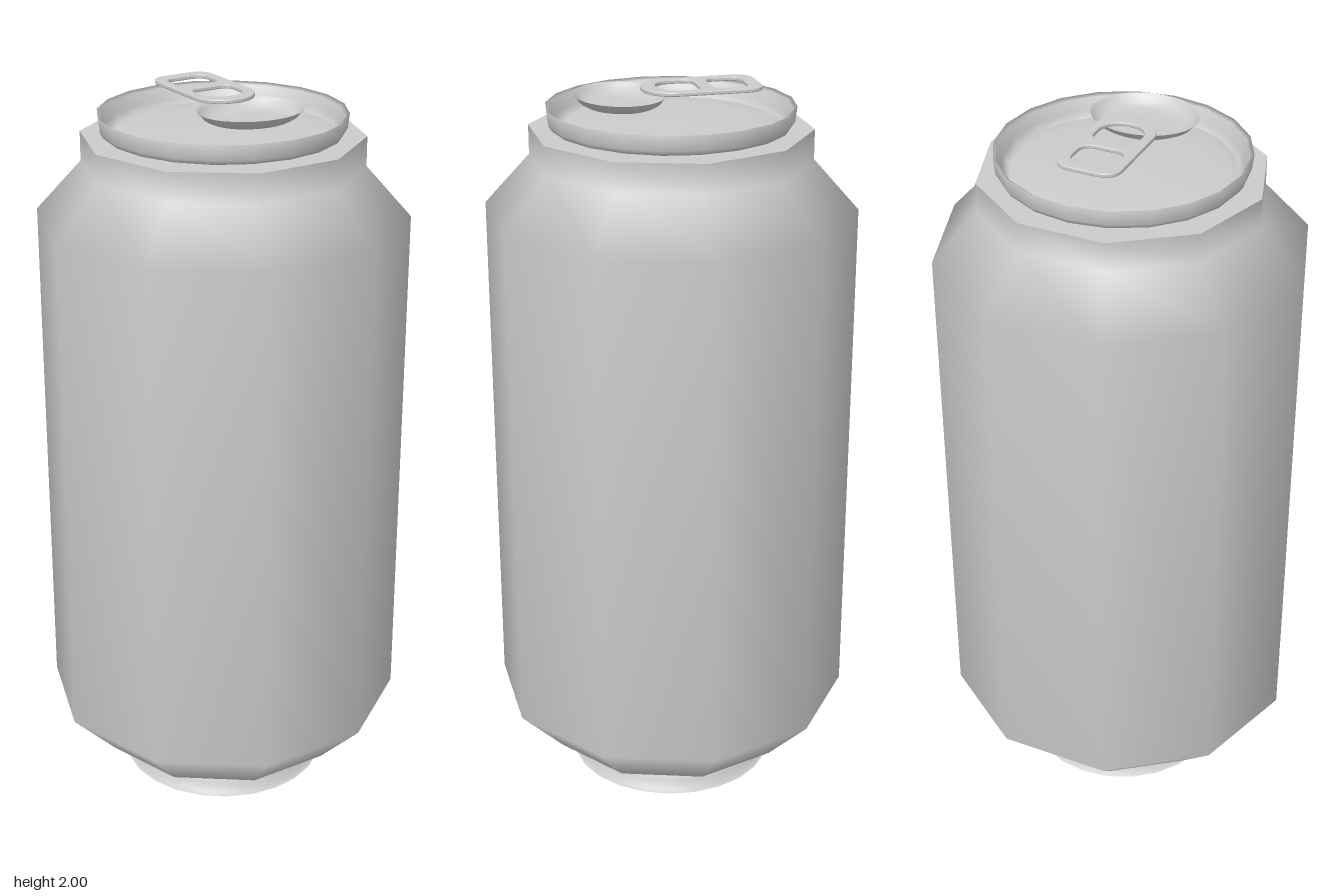
import * as THREE from 'three';

const material = new THREE.MeshStandardMaterial({ color: 0xcccccc });
const thin = new THREE.MeshStandardMaterial({ color: 0xcccccc, side: THREE.DoubleSide });

// Turned part from [radius, height] pairs; a corner sits on the x axis.
function turned(name, profile, sides, mat = material) {
  const points = profile.map(([r, y]) => new THREE.Vector2(r, y));
  const mesh = new THREE.Mesh(new THREE.LatheGeometry(points, sides, Math.PI / 2), mat);
  mesh.name = name;
  return mesh;
}

// Rounded outline from z0 (back) to z1 (front), with separate corner radii.
function outline(path, halfWidth, z0, z1, backRadius, frontRadius) {
  const w = halfWidth, top = -z0, low = -z1, b = backRadius, f = frontRadius;
  path.moveTo(w, low + f);
  path.lineTo(w, top - b);
  path.quadraticCurveTo(w, top, w - b, top);
  path.lineTo(-w + b, top);
  path.quadraticCurveTo(-w, top, -w, top - b);
  path.lineTo(-w, low + f);
  path.absarc(-w + f, low + f, f, Math.PI, Math.PI * 1.5, false);
  path.absarc(w - f, low + f, f, Math.PI * 1.5, Math.PI * 2, false);
  return path;
}

export function createModel() {
  const can = new THREE.Group();
  can.name = 'drinkCan';

  // Ten-sided body with flat ends
  const body = new THREE.Group();
  body.name = 'body';
  body.add(
    turned('bodyWall', [[0.37, 0.105], [0.5, 0.24], [0.5, 1.675], [0.378, 1.81], [0.378, 1.89]], 10),
    turned('bodyBottom', [[0, 0.105], [0.37, 0.105]], 10),
    turned('bodyTop', [[0.378, 1.89], [0, 1.89]], 10)
  );
  can.add(body);

  // Lid with raised rim, groove and slightly domed panel
  can.add(turned('lid', [
    [0.3, 1.892], [0.317, 1.897], [0.326, 1.91], [0.331, 1.95],
    [0.32, 1.943], [0.31, 1.912], [0.3, 1.896], [0.29, 1.896],
    [0.275, 1.905], [0.2, 1.911], [0, 1.915]
  ], 20));

  // Hollow foot, open underneath
  can.add(turned('foot', [
    [0.29, 0], [0.278, 0.006], [0.27, 0.03], [0.255, 0.062],
    [0.238, 0.085], [0.215, 0.094], [0.12, 0.099], [0, 0.102]
  ], 24, thin));

  // Shallow oval mouth dish
  const mouth = turned('mouth', [
    [0, 1.956], [0.08, 1.956], [0.11, 1.958], [0.128, 1.967], [0.138, 1.979], [0.145, 1.985]
  ], 32, thin);
  mouth.scale.z = 0.835;
  mouth.position.z = 0.135;
  can.add(mouth);

  // Pull tab with two finger holes
  const shape = outline(new THREE.Shape(), 0.086, -0.235, 0.08, 0.05, 0.084);
  shape.holes.push(
    outline(new THREE.Path(), 0.06, -0.2, -0.105, 0.035, 0.03),
    outline(new THREE.Path(), 0.06, -0.07, 0.04, 0.03, 0.055)
  );
  const tabGeometry = new THREE.ExtrudeGeometry(shape, {
    depth: 0.006, bevelThickness: 0.003, bevelSize: 0.004, bevelOffset: -0.004,
    bevelSegments: 2, curveSegments: 8
  });
  tabGeometry.rotateX(-Math.PI / 2);
  const tab = new THREE.Mesh(tabGeometry, material);
  tab.name = 'pullTab';
  tab.position.y = 1.991;
  can.add(tab);

  return can;
}
